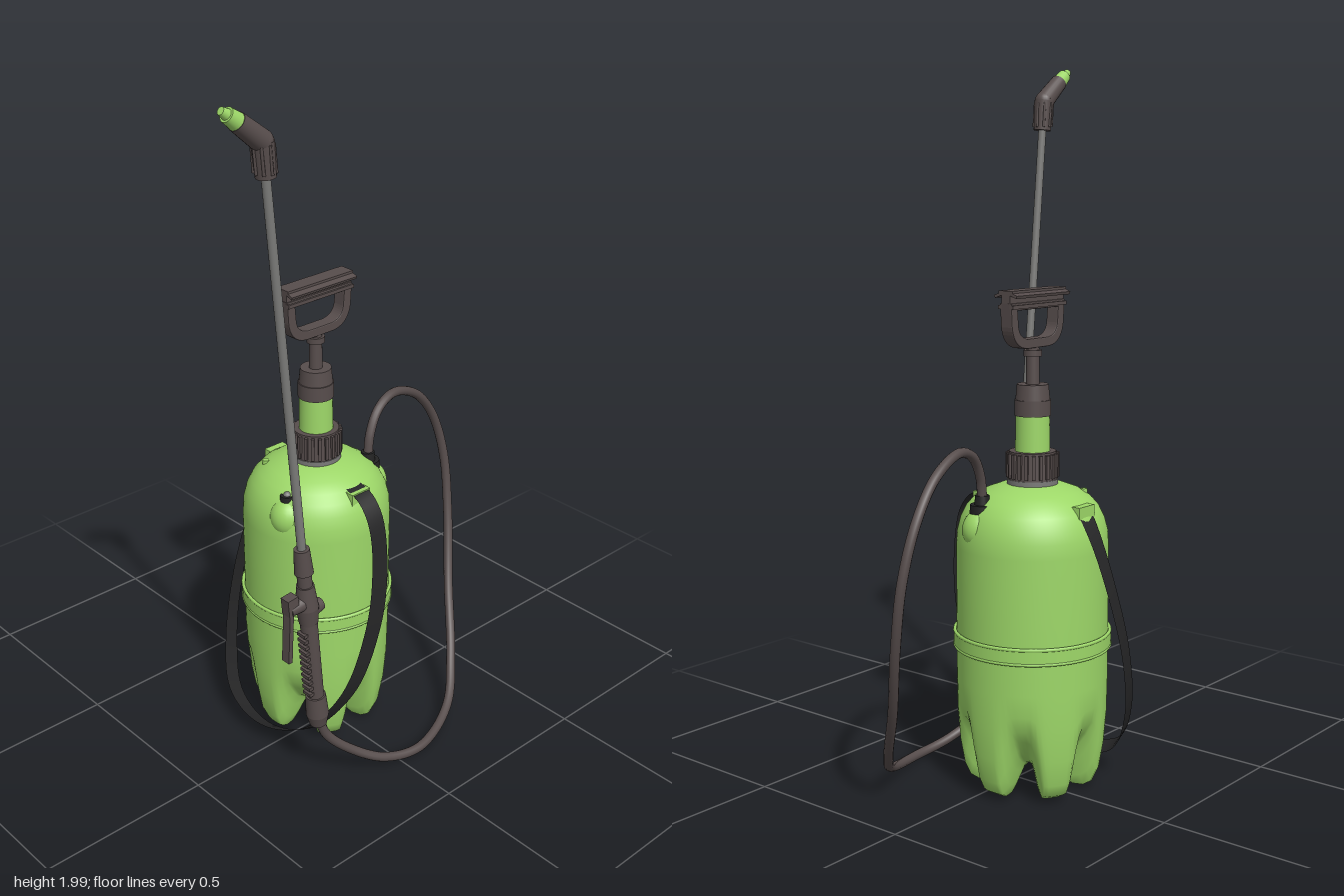
import * as THREE from 'three';
import { mergeVertices } from 'three/addons/utils/BufferGeometryUtils.js';

const mat = (name, color, side = THREE.FrontSide) => {
  const m = new THREE.MeshStandardMaterial({ color, side });
  m.name = name;
  return m;
};
const V = (p) => new THREE.Vector3(...p);
const V2 = (p) => new THREE.Vector2(...p);

export function createModel() {
  const green = mat('leaf green', 0x9dd768);
  const brown = mat('warm dark grey', 0x574d4c);
  const black = mat('black plastic', 0x232323);
  const strapBlack = mat('strap black', 0x262627, THREE.DoubleSide);
  const steel = mat('steel grey', 0x7b7b79);

  const model = new THREE.Group();
  model.name = 'pressureSprayer';

  const add = (parent, name, geo, material, pos = [0, 0, 0]) => {
    const m = new THREE.Mesh(geo, material);
    m.name = name;
    m.position.set(...pos);
    parent.add(m);
    return m;
  };
  const cyl = (parent, name, r0, r1, y0, y1, material, x = 0, z = 0, seg = 32) =>
    add(parent, name, new THREE.CylinderGeometry(r1, r0, y1 - y0, seg), material, [x, (y0 + y1) / 2, z]);
  const box = (parent, name, w, h, d, material, pos) =>
    add(parent, name, new THREE.BoxGeometry(w, h, d), material, pos);
  // tapered round bar from a to b
  const bar = (parent, name, a, b, r0, r1, material, seg = 20) => {
    const d = V(b).sub(V(a));
    const m = add(parent, name, new THREE.CylinderGeometry(r1, r0, d.length(), seg), material);
    m.position.copy(V(a)).addScaledVector(d, 0.5);
    m.quaternion.setFromUnitVectors(new THREE.Vector3(0, 1, 0), d.normalize());
    return m;
  };

  // ---- Tank: group axis stands slightly behind the origin
  const tank = new THREE.Group();
  tank.name = 'tank';
  tank.position.z = -0.055;
  model.add(tank);

  // profile through a foot and through a valley, blended around six feet
  const foot = [[0, 0.07], [0.06, 0.06], [0.095, 0.025], [0.12, 0.012], [0.15, 0.012], [0.172, 0.025], [0.188, 0.06], [0.2, 0.13], [0.207, 0.22]];
  const valley = [[0, 0.07], [0.05, 0.078], [0.08, 0.09], [0.105, 0.105], [0.13, 0.125], [0.15, 0.15], [0.172, 0.18], [0.194, 0.215], [0.206, 0.26]];
  const upper = [[0.209, 0.32], [0.209, 0.5], [0.209, 0.69], [0.206, 0.73], [0.197, 0.765], [0.182, 0.795], [0.16, 0.82], [0.13, 0.84], [0.09, 0.855], [0.05, 0.862]];
  const profile = [...foot, ...upper].map(V2);
  let body = new THREE.LatheGeometry(profile, 96);
  const pos = body.attributes.position;
  for (let i = 0; i < pos.count; i++) {
    const j = i % profile.length;
    if (j >= foot.length) continue;
    const a = (Math.floor(i / profile.length) / 96) * Math.PI * 2;
    const c = 0.5 - 0.5 * Math.cos(6 * a);
    const w = THREE.MathUtils.smoothstep(c, 0.05, 0.75);
    const r = THREE.MathUtils.lerp(valley[j][0], foot[j][0], w);
    const y = THREE.MathUtils.lerp(valley[j][1], foot[j][1], w);
    pos.setXYZ(i, r * Math.sin(a), y, r * Math.cos(a));
  }
  body.deleteAttribute('uv');
  body.deleteAttribute('normal');
  body = mergeVertices(body, 1e-5);
  body.computeVertexNormals();
  add(tank, 'tankBody', body, green);
  cyl(tank, 'seamBand', 0.217, 0.217, 0.41, 0.45, green, 0, 0, 64);
  for (const y of [0.41, 0.45])
    add(tank, 'seamBead', new THREE.TorusGeometry(0.214, 0.005, 8, 64).rotateX(Math.PI / 2), green, [0, y, 0]);

  // ---- Neck, ribbed collar nut and pump barrel
  cyl(tank, 'washer', 0.07, 0.07, 0.855, 0.872, steel);
  cyl(tank, 'collarNut', 0.068, 0.064, 0.872, 0.948, brown);
  for (let i = 0; i < 22; i++) {
    const a = (i / 22) * Math.PI * 2;
    const rib = box(tank, 'collarRib', 0.009, 0.066, 0.01, brown, [0.068 * Math.sin(a), 0.91, 0.068 * Math.cos(a)]);
    rib.rotation.y = a;
  }
  cyl(tank, 'pumpBarrel', 0.048, 0.046, 0.945, 1.05, green);
  cyl(tank, 'pumpCapLower', 0.05, 0.05, 1.045, 1.088, brown);
  cyl(tank, 'pumpCapUpper', 0.047, 0.043, 1.088, 1.13, brown);
  cyl(tank, 'pumpRod', 0.019, 0.017, 1.125, 1.245, brown, 0, 0, 20);
  cyl(tank, 'rodStop', 0.025, 0.025, 1.205, 1.222, brown, 0, 0, 20);

  // ---- Pump handle
  const d = new THREE.Shape();
  d.moveTo(-0.112, 1.35);
  d.lineTo(-0.108, 1.29);
  d.quadraticCurveTo(-0.1, 1.235, -0.045, 1.232);
  d.lineTo(0.045, 1.232);
  d.quadraticCurveTo(0.1, 1.235, 0.108, 1.29);
  d.lineTo(0.112, 1.35);
  const hole = new THREE.Path();
  hole.moveTo(-0.09, 1.336);
  hole.lineTo(0.09, 1.336);
  hole.lineTo(0.086, 1.29);
  hole.quadraticCurveTo(0.08, 1.255, 0.04, 1.252);
  hole.lineTo(-0.04, 1.252);
  hole.quadraticCurveTo(-0.08, 1.255, -0.086, 1.29);
  d.holes.push(hole);
  const handleGeo = new THREE.ExtrudeGeometry(d, { depth: 0.032, bevelThickness: 0.004, bevelSize: 0.003, bevelSegments: 2, curveSegments: 10 });
  add(tank, 'handleLoop', handleGeo, brown, [0, 0, -0.016]);
  box(tank, 'handleGripWeb', 0.228, 0.045, 0.03, brown, [0, 1.36, 0]);
  box(tank, 'handleGripTop', 0.23, 0.01, 0.046, brown, [0, 1.381, 0]);
  for (const s of [-1, 1]) {
    const wing = box(tank, 'handleGripWing', 0.23, 0.008, 0.024, brown, [0, 1.374, s * 0.026]);
    wing.rotation.x = s * 0.35;
    box(tank, 'handleGripRib', 0.23, 0.01, 0.012, brown, [0, 1.343, s * 0.02]);
  }

  // ---- Shoulder fittings, relief valve and strap lugs
  for (const s of [-1, 1]) {
    const boss = add(tank, 'shoulderBoss', new THREE.SphereGeometry(0.052, 24, 16), green, [s * 0.152, 0.745, 0.055]);
    boss.scale.y = 1.1;
    box(tank, 'strapLug', 0.066, 0.035, 0.03, green, [0, 0.8, s * 0.17]);
  }
  cyl(model, 'hoseSocket', 0.036, 0.033, 0.755, 0.815, black, 0.147, 0, 24);
  cyl(model, 'hoseFerrule', 0.022, 0.019, 0.81, 0.84, black, 0.147, 0, 20);
  cyl(model, 'safetyValve', 0.022, 0.019, 0.76, 0.812, black, -0.155, 0, 20);
  add(model, 'valveKnob', new THREE.SphereGeometry(0.011, 16, 10), steel, [-0.155, 0.811, 0]);
  cyl(model, 'reliefPin', 0.011, 0.009, 0.81, 0.84, green, -0.1, -0.155, 16);

  // ---- Carrying strap: ribbon hanging in a loop around the left-behind side
  const strapPath = new THREE.CatmullRomCurve3([
    [0, 0.825, 0.09], [0, 0.806, 0.145], [0, 0.75, 0.188], [0, 0.6, 0.208], [-0.025, 0.42, 0.21],
    [-0.095, 0.22, 0.185], [-0.175, 0.09, 0.1], [-0.22, 0.05, -0.04], [-0.205, 0.085, -0.19],
    [-0.15, 0.21, -0.275], [-0.085, 0.4, -0.312], [-0.025, 0.6, -0.302], [0, 0.74, -0.265], [0, 0.806, -0.225], [0, 0.825, -0.2]].map(V));
  const N = 96, verts = [], faces = [];
  const centre = V([0, 0.45, -0.055]);
  for (let i = 0; i <= N; i++) {
    const p = strapPath.getPointAt(i / N);
    const w = strapPath.getTangentAt(i / N).cross(p.clone().sub(centre)).normalize().multiplyScalar(0.028);
    verts.push(...p.clone().add(w).toArray(), ...p.clone().sub(w).toArray());
    if (i < N) faces.push(2 * i, 2 * i + 1, 2 * i + 2, 2 * i + 1, 2 * i + 3, 2 * i + 2);
  }
  const strap = new THREE.BufferGeometry();
  strap.setAttribute('position', new THREE.Float32BufferAttribute(verts, 3));
  strap.setIndex(faces);
  strap.computeVertexNormals();
  add(model, 'carryStrap', strap, strapBlack);

  // ---- Hose
  const hosePath = new THREE.CatmullRomCurve3([
    [0.147, 0.82, 0], [0.16, 0.89, -0.005], [0.2, 0.95, -0.015], [0.27, 0.974, -0.028], [0.38, 0.93, -0.045],
    [0.465, 0.83, -0.055], [0.51, 0.68, -0.045], [0.5, 0.5, -0.01], [0.44, 0.3, 0.06], [0.35, 0.13, 0.165],
    [0.25, 0.045, 0.25], [0.08, 0.015, 0.31], [-0.05, 0.035, 0.295], [-0.15, 0.095, 0.255], [-0.22, 0.17, 0.228], [-0.245, 0.25, 0.225]].map(V));
  add(model, 'hose', new THREE.TubeGeometry(hosePath, 140, 0.0135, 12), brown);

  // ---- Lance: leaning group, local y runs along the grip and tube
  const lance = new THREE.Group();
  lance.name = 'sprayLance';
  lance.position.set(-0.245, 0.22, 0.225);
  lance.rotation.z = 0.094;
  model.add(lance);
  cyl(lance, 'hoseNut', 0.024, 0.032, 0, 0.035, brown);
  cyl(lance, 'hoseNutUpper', 0.032, 0.028, 0.035, 0.1, brown);
  cyl(lance, 'grip', 0.023, 0.024, 0.1, 0.35, brown);
  for (let i = 0; i < 11; i++)
    box(lance, 'gripRidge', 0.014, 0.01, 0.03, brown, [-0.024, 0.12 + i * 0.02, 0]);
  cyl(lance, 'valveBody', 0.026, 0.031, 0.35, 0.4, brown);
  cyl(lance, 'valveBodyUpper', 0.031, 0.024, 0.4, 0.47, brown);
  cyl(lance, 'lanceNeck', 0.02, 0.02, 0.47, 0.51, brown);
  cyl(lance, 'lanceNut', 0.026, 0.021, 0.51, 0.585, brown);
  bar(lance, 'valveCap', [0.02, 0.385, 0], [0.046, 0.385, 0], 0.022, 0.018, brown);
  bar(lance, 'triggerPivot', [-0.02, 0.42, 0], [-0.062, 0.42, 0], 0.022, 0.018, brown);
  box(lance, 'triggerHead', 0.035, 0.05, 0.03, brown, [-0.055, 0.435, 0]);
  const lever = box(lance, 'triggerLever', 0.013, 0.16, 0.028, brown, [-0.073, 0.345, 0]);
  lever.rotation.z = -0.14;
  cyl(lance, 'lanceTube', 0.012, 0.0115, 0.58, 1.62, steel, 0, 0, 16);

  // ---- Angled nozzle
  const z = 0.225;
  bar(model, 'nozzleSocket', [-0.395, 1.815, z], [-0.403, 1.9, z], 0.025, 0.028, brown);
  add(model, 'nozzleElbow', new THREE.SphereGeometry(0.028, 20, 14), brown, [-0.405, 1.9, z]);
  bar(model, 'nozzleBarrel', [-0.405, 1.9, z], [-0.475, 1.957, z], 0.028, 0.024, brown);
  for (let i = 0; i < 8; i++) {
    const a = (i / 8) * Math.PI * 2, c = 0.026 * Math.cos(a), s = 0.026 * Math.sin(a);
    bar(model, 'nozzleRib', [-0.397 + c, 1.825, z + s], [-0.403 + c, 1.895, z + s], 0.004, 0.004, brown, 6);
  }
  bar(model, 'nozzleTip', [-0.473, 1.955, z], [-0.502, 1.977, z], 0.023, 0.019, green);
  bar(model, 'nozzleEnd', [-0.502, 1.977, z], [-0.518, 1.988, z], 0.014, 0.01, green);
  return model;
}
